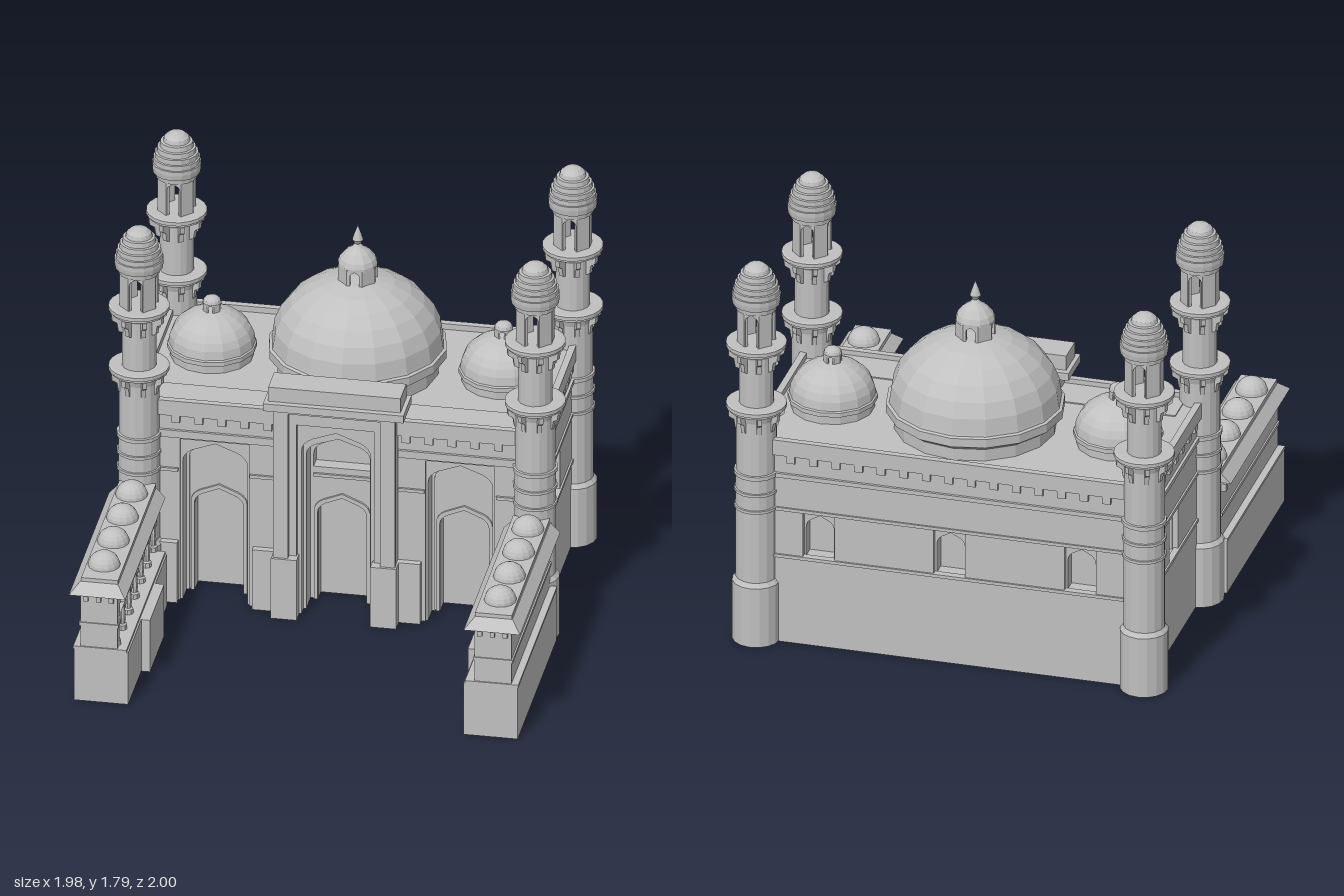
import * as THREE from 'three';

const stone = new THREE.MeshStandardMaterial({ color: 0xc0c0c0, side: THREE.DoubleSide });
stone.name = 'stone';

// Faceted mesh in the one stone colour, left open where it rests on the ground
function add(parent, name, geo, x = 0, y = 0, z = 0, ry = 0) {
  const src = (geo.index ? geo.toNonIndexed() : geo).attributes.position.array, kept = [];
  for (let i = 0; i < src.length; i += 9)
    if (Math.max(src[i + 1], src[i + 4], src[i + 7]) + y > 0.0015) kept.push(...src.subarray(i, i + 9));
  const g = new THREE.BufferGeometry();
  g.setAttribute('position', new THREE.Float32BufferAttribute(kept, 3));
  g.computeVertexNormals();
  const m = new THREE.Mesh(g, stone);
  m.name = name;
  m.position.set(x, y, z);
  m.rotation.y = ry;
  parent.add(m);
}

// Box given by its lower and upper limits
function block(parent, name, x0, x1, y0, y1, z0, z1) {
  add(parent, name, new THREE.BoxGeometry(Math.abs(x1 - x0), y1 - y0, z1 - z0),
    (x0 + x1) / 2, (y0 + y1) / 2, (z0 + z1) / 2);
}

const lathe = (pts, sides = 16) =>
  new THREE.LatheGeometry(pts.map(p => new THREE.Vector2(p[0], p[1])), sides);

const rect = (C, cx, w, y0, y1) => {
  const p = new C();
  p.moveTo(cx - w, y0); p.lineTo(cx + w, y0); p.lineTo(cx + w, y1); p.lineTo(cx - w, y1);
  p.closePath();
  return p;
};

// Pointed arch opening of half width w
const arch = (C, cx, w, y0, spring, apex) => {
  const h = apex - spring, p = new C();
  p.moveTo(cx - w, y0);
  p.lineTo(cx - w, spring);
  p.quadraticCurveTo(cx - w, spring + h * 0.5, cx - w * 0.5, spring + h * 0.72);
  p.lineTo(cx, apex);
  p.lineTo(cx + w * 0.5, spring + h * 0.72);
  p.quadraticCurveTo(cx + w, spring + h * 0.5, cx + w, spring);
  p.lineTo(cx + w, y0);
  p.closePath();
  return p;
};

// Extruded wall with openings
function panel(parent, name, shape, holes, depth, x, y, z, ry = 0) {
  shape.holes.push(...holes);
  const g = new THREE.ExtrudeGeometry(shape, { depth, bevelEnabled: false, curveSegments: 5 });
  add(parent, name, g, x, y, z, ry);
}
const wall = (w, y0, y1) => rect(THREE.Shape, 0, w, y0, y1);
const door = (w, spring, apex, y0 = 0.001, cx = 0) => arch(THREE.Path, cx, w, y0, spring, apex);

// Eight-sided ring of panels, arched on the listed sides (0 is +z, 2 is +x)
function lantern(parent, x, z, r, y0, h, t, open, ratio) {
  const w = r * Math.tan(Math.PI / 8);
  for (let i = 0; i < 8; i++) {
    const a = i * Math.PI / 4, d = r - t;
    const holes = open.includes(i) ? [door(w * ratio, h * 0.72, h * 0.92)] : [];
    panel(parent, 'lanternSide', wall(w, 0, h), holes, t, x + Math.sin(a) * d, y0, z + Math.cos(a) * d, a);
  }
}

// Elliptical dome profile of base radius r
const domeProfile = (r, y, h, n = 7) =>
  Array.from({ length: n + 1 }, (_, i) => {
    const a = i / n * Math.PI / 2;
    return [r * Math.cos(a), y + h * Math.sin(a)];
  });

function minaret(parent, s, z) {
  const g = new THREE.Group();
  g.name = 'minaret';
  g.position.set(s * 0.86, 0, z);
  parent.add(g);
  add(g, 'minaretShaft', lathe([[0.105, 0], [0.105, 0.28], [0.09, 0.3], [0.09, 0.63], [0.096, 0.632],
    [0.096, 0.645], [0.09, 0.647], [0.09, 0.71], [0.096, 0.712], [0.096, 0.725], [0.09, 0.727], [0.09, 0.79],
    [0.097, 0.792], [0.097, 0.81], [0.088, 0.812], [0.088, 1.06], [0.1, 1.1], [0.075, 1.12], [0.075, 1.36],
    [0.095, 1.4], [0, 1.41]]));
  for (const y of [1.095, 1.385]) {
    add(g, 'balcony', lathe([[0.07, y], [0.12, y + 0.004], [0.12, y + 0.015], [0.131, y + 0.017],
      [0.131, y + 0.034], [0.122, y + 0.037], [0, y + 0.037]], 20));
    // Tapered brackets under the balcony
    for (let i = 0; i < 8; i++) {
      const b = new THREE.Shape();
      b.moveTo(0.06, 0); b.lineTo(0.122, 0); b.lineTo(0.12, -0.03); b.lineTo(0.098, -0.045);
      b.lineTo(0.092, -0.085); b.lineTo(0.06, -0.1); b.closePath();
      const e = new THREE.ExtrudeGeometry(b, { depth: 0.02, bevelEnabled: false });
      e.translate(0, 0, -0.01);
      add(g, 'balconyBracket', e, 0, y + 0.003, 0, (i + 0.5) * Math.PI / 4);
    }
  }
  // Openings to front, back and the inner side
  lantern(g, 0, 0, 0.078, 1.42, 0.17, 0.018, [0, 4, s > 0 ? 6 : 2], 0.88);
  add(g, 'minaretCap', lathe([[0, 1.58], [0.088, 1.58], [0.09, 1.6], [0.102, 1.605], [0.106, 1.63], [0.106, 1.65],
    [0.101, 1.652], [0.101, 1.675], [0.094, 1.677], [0.094, 1.7], [0.085, 1.702], [0.083, 1.725],
    [0.073, 1.727], [0.07, 1.75], [0.058, 1.752], [0.053, 1.77], [0.035, 1.786], [0, 1.794]]));
}

function createWing(parent, s) {
  const g = new THREE.Group();
  g.name = 'arcadeWing';
  parent.add(g);
  block(g, 'wingBase', s * 0.728, s * 0.963, 0, 0.25, 0.065, 0.965);
  block(g, 'wingStep', s * 0.69, s * 0.73, 0, 0.25, 0.33, 0.66);
  block(g, 'wingLedge', s * 0.735, s * 0.966, 0.25, 0.263, 0.065, 0.968);
  block(g, 'wingOuterWall', s * 0.89, s * 0.935, 0.26, 0.54, 0.065, 0.962);
  block(g, 'wingEndWall', s * 0.775, s * 0.934, 0.26, 0.54, 0.91, 0.962);
  block(g, 'wingBand', s * 0.9, s * 0.942, 0.365, 0.38, 0.065, 0.967);
  block(g, 'wingEndBand', s * 0.77, s * 0.94, 0.365, 0.38, 0.91, 0.967);
  // Arches over columns
  const bay = 0.142, holes = [];
  for (let i = 0; i < 6; i++) holes.push(door(0.055, 0.44, 0.49, 0.401, (i - 2.5) * bay));
  panel(g, 'arcadeArches', wall(0.425, 0.4, 0.54), holes, 0.03, s * 0.775, 0, 0.49, s * Math.PI / 2);
  for (let i = 0; i < 7; i++) {
    add(g, 'arcadeColumn', lathe([[0.022, 0.26], [0.022, 0.285], [0.013, 0.29], [0.016, 0.32], [0.012, 0.375],
      [0.02, 0.385], [0.02, 0.405]], 8), s * 0.79, 0, 0.49 + (i - 3) * bay);
    for (const x of [0.765, 0.945])
      add(g, 'eaveBracket', new THREE.BoxGeometry(0.035, 0.035, 0.022), s * x, 0.51, 0.49 + (i - 3) * bay);
  }
  for (const x of [0.8, 0.855, 0.91]) block(g, 'eaveBracket', s * (x - 0.01), s * (x + 0.01), 0.49, 0.53, 0.95, 0.98);
  // Sloping eave: box with its top drawn in
  const e = new THREE.BoxGeometry(0.245, 0.045, 0.935), p = e.attributes.position;
  for (let i = 0; i < p.count; i++) if (p.getY(i) > 0) {
    p.setX(i, p.getX(i) * 0.66);
    if (p.getZ(i) > 0) p.setZ(i, 0.4175);
  }
  add(g, 'wingEave', e, s * 0.857, 0.5475, 0.5325);
  block(g, 'wingRoof', s * 0.775, s * 0.935, 0.55, 0.588, 0.065, 0.95);
  for (let i = 0; i < 4; i++)
    add(g, 'wingDome', lathe(domeProfile(0.07, 0.585, 0.067, 6), 14), s * 0.86, 0, 0.178 + i * 0.213);
}

function createBay(parent, s) {
  const x = s * 0.5325, w = 0.27;
  panel(parent, 'bayWall', wall(w, 0, 0.95), [rect(THREE.Path, 0, 0.15, 0.001, 0.78)], 0.02, x, 0, -0.02);
  panel(parent, 'bayArch', wall(w, 0, 0.95), [door(0.14, 0.67, 0.765)], 0.09, x, 0, -0.1);
  panel(parent, 'bayInnerArch', wall(w, 0, 0.95), [door(0.128, 0.645, 0.725)], 0.01, x, 0, -0.11);
  panel(parent, 'doorWall', wall(w, 0, 0.95), [door(0.105, 0.42, 0.5)], 0.07, x, 0, -0.18);
  panel(parent, 'doorFrame', arch(THREE.Shape, 0, 0.122, 0, 0.43, 0.52), [door(0.107, 0.42, 0.5)], 0.012, x, 0, -0.112);
  // Pilasters with plinths and bands
  for (const [a, b] of [[0.265, 0.375], [0.69, 0.8]]) {
    block(parent, 'pilasterPlinth', s * a, s * (b - 0.01), 0, 0.29, -0.02, 0.03);
    block(parent, 'pilasterBand', s * a, s * (b + 0.004), 0.625, 0.64, -0.02, 0.01);
  }
  block(parent, 'frontBand', s * 0.265, s * 0.8, 0.79, 0.825, -0.02, 0.012);
}

function createPortal(parent) {
  panel(parent, 'portalFrame', wall(0.265, 0, 1.02), [rect(THREE.Path, 0, 0.2, 0.001, 0.99)], 0.03, 0, 0, 0.05);
  panel(parent, 'portalInnerFrame', wall(0.263, 0, 1.02), [rect(THREE.Path, 0, 0.168, 0.001, 0.925)], 0.14, 0, 0, -0.09);
  panel(parent, 'portalArch', wall(0.2, 0, 0.95), [door(0.15, 0.79, 0.89)], 0.06, 0, 0, -0.03);
  panel(parent, 'portalInnerArch', wall(0.2, 0, 0.95), [door(0.138, 0.75, 0.835)], 0.1, 0, 0, -0.12);
  panel(parent, 'portalDoorWall', wall(0.265, 0, 0.95),
    [door(0.105, 0.42, 0.5), door(0.125, 0.7, 0.79, 0.64)], 0.06, 0, 0, -0.18);
  panel(parent, 'portalDoorFrame', arch(THREE.Shape, 0, 0.122, 0, 0.43, 0.52), [door(0.107, 0.42, 0.5)], 0.012, 0, 0, -0.122);
  block(parent, 'portalLintel', -0.125, 0.125, 0.595, 0.61, -0.125, -0.11);
  for (const s of [-1, 1]) block(parent, 'portalPlinth', s * 0.16, s * 0.272, 0, 0.29, 0, 0.092);
  block(parent, 'portalCornice', -0.305, 0.305, 1.005, 1.04, -0.095, 0.097);
  block(parent, 'portalCap', -0.287, 0.287, 1.04, 1.108, -0.066, 0.07);
}

// Hollow rectangular kerb
function rim(parent, name, x, z0, z1, y0, y1, t) {
  for (const s of [-1, 1]) block(parent, name, s * (x - t), s * x, y0, y1, z0, z1);
  block(parent, name, t - x, x - t, y0, y1, z0, z0 + t);
  block(parent, name, t - x, x - t, y0, y1, z1 - t, z1);
}

export function createModel() {
  const model = new THREE.Group();
  model.name = 'domedHallWithMinarets';

  // Hall core over a raised floor, roof and cornice
  block(model, 'hallCore', -0.785, 0.785, 0.29, 0.93, -0.8, -0.18);
  block(model, 'hallFloor', -0.868, 0.868, 0.283, 0.293, -0.883, -0.18);
  block(model, 'doorBacking', -0.8, 0.8, 0, 0.29, -0.185, -0.18);
  block(model, 'cornice', -0.89, 0.89, 0.9, 0.945, -0.905, 0.02);
  rim(model, 'parapet', 0.89, -0.905, 0.02, 0.945, 0.972, 0.03);

  // Side and back walls with arched window niches
  const niche = (xs, half, x, z, ry) => {
    panel(model, 'hallWall', wall(half, 0, 0.93), xs.map(c => rect(THREE.Path, c, 0.07, 0.415, 0.63)), 0.025,
      x + Math.sin(ry) * 0.06, 0, z + Math.cos(ry) * 0.06, ry);
    panel(model, 'windowArch', wall(half - 0.025, 0.29, 0.93), xs.map(c => door(0.062, 0.55, 0.612, 0.415, c)), 0.06, x, 0, z, ry);
  };
  niche([-0.58, 0, 0.58], 0.87, 0, -0.8, Math.PI);
  for (const s of [-1, 1]) niche([0], 0.4425, s * 0.785, -0.4425, s * Math.PI / 2);
  for (const [y, h, d] of [[0.405, 0.015, 0.008], [0.63, 0.015, 0.008], [0.79, 0.02, 0.012]]) {
    block(model, 'wallBand', -0.87, 0.87, y, y + h, -0.885 - d, -0.86);
    for (const s of [-1, 1]) block(model, 'wallBand', s * 0.85, s * (0.87 + d), y, y + h, -0.885, 0);
  }

  // Small blocks below the cornice
  for (let i = -7; i <= 7; i++) {
    const x = i * 0.1;
    block(model, 'corniceBlock', x - 0.018, x + 0.018, 0.865, 0.9, -0.9, -0.88);
    if (Math.abs(i) > 2) block(model, 'corniceBlock', x - 0.018, x + 0.018, 0.865, 0.9, -0.01, 0.015);
  }
  for (const s of [-1, 1]) for (let i = 0; i < 7; i++) {
    const z = -0.74 + i * 0.1;
    block(model, 'corniceBlock', s * 0.86, s * 0.886, 0.865, 0.9, z - 0.018, z + 0.018);
  }

  createPortal(model);

  // Main dome with lantern and finial
  const cz = -0.476, even = [0, 2, 4, 6];
  add(model, 'mainDome', lathe([[0.35, 0.94], [0.35, 1.0], [0.385, 1.025], [0.385, 1.065], [0.372, 1.07],
    ...domeProfile(0.37, 1.08, 0.305)]), 0, 0, cz);
  lantern(model, 0, cz, 0.08, 1.35, 0.1, 0.018, even, 0.6);
  add(model, 'lanternRoof', lathe([[0, 1.445], [0.086, 1.445], [0.086, 1.458], [0.078, 1.48], [0.055, 1.508],
    [0.025, 1.53], [0.012, 1.545], [0.024, 1.565], [0.016, 1.59], [0, 1.635]], 12), 0, 0, cz);

  for (const s of [-1, 1]) {
    createBay(model, s);
    createWing(model, s);
    for (const z of [0.005, -0.87]) minaret(model, s, z);
    // Side dome
    add(model, 'sideDome', lathe([[0.18, 0.94], [0.18, 0.98], [0.193, 0.985], [0.193, 1.005], [0.186, 1.01],
      ...domeProfile(0.185, 1.015, 0.15)], 14), s * 0.633, 0, cz);
    lantern(model, s * 0.633, cz, 0.037, 1.15, 0.05, 0.008, even, 0.6);
    add(model, 'sideLanternCap', lathe([[0, 1.193], [0.041, 1.193], [0.041, 1.2], ...domeProfile(0.039, 1.202, 0.028, 4)], 12),
      s * 0.633, 0, cz);
  }
  return model;
}
